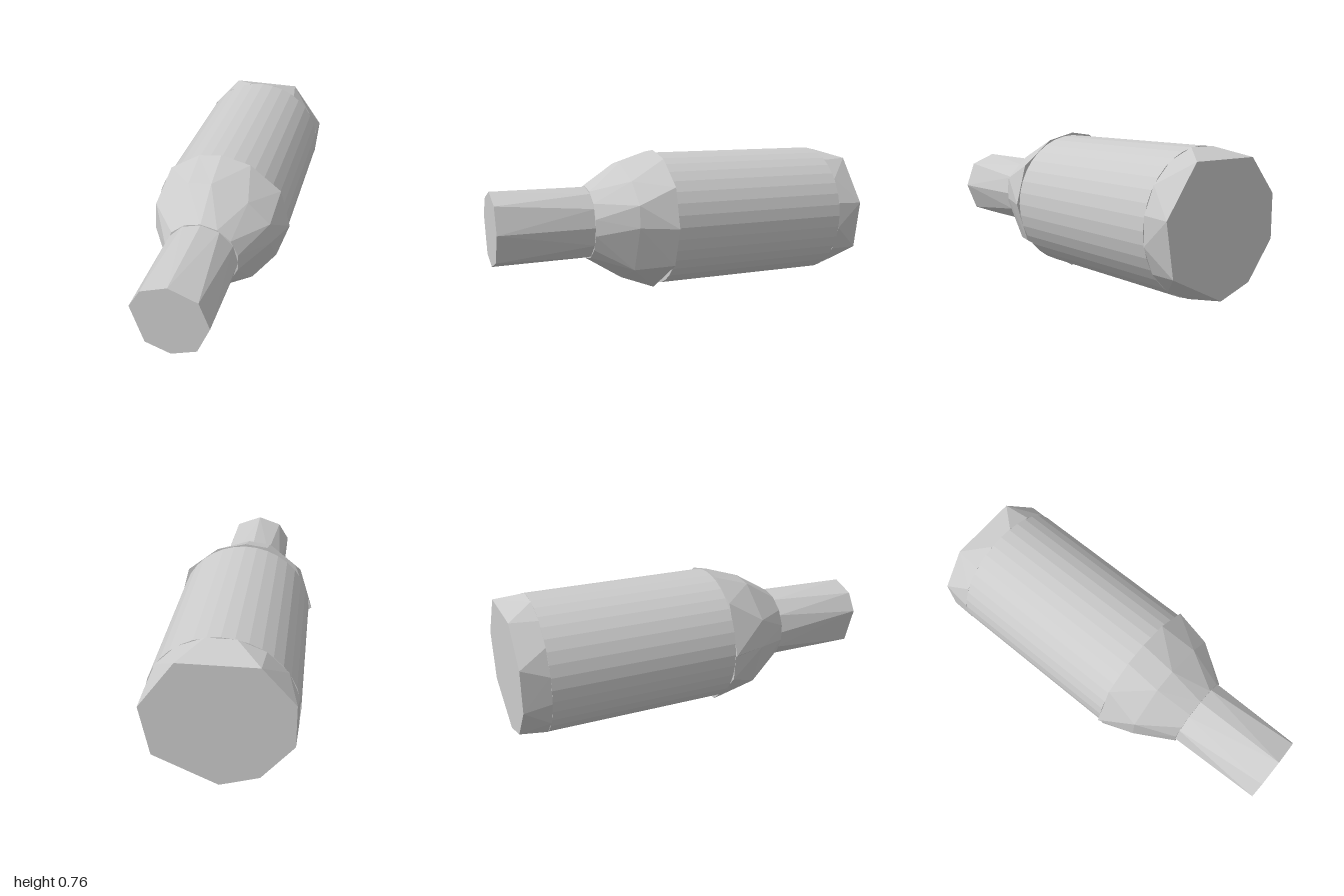
import * as THREE from 'three';

const AXIS_Y = 0.395;
const material = new THREE.MeshStandardMaterial({ color: 0xcccccc, flatShading: true });

const angleOf = (p) => Math.atan2(p[1] - AXIS_Y, p[0]);

// Cross-section from corner points, sorted round the long axis
function section(z, points) {
  return { z, points: [...points].sort((a, b) => angleOf(a) - angleOf(b)) };
}

// Regular cross-section
function ring(z, radius, sides, turn = 0) {
  const points = [];
  for (let i = 0; i < sides; i++) {
    const a = turn + (i / sides) * Math.PI * 2;
    points.push([radius * Math.cos(a), AXIS_Y + radius * Math.sin(a)]);
  }
  return section(z, points);
}

// Faceted skin through sections listed from back to front, closed at both ends
function loft(name, sections) {
  const pos = [];
  const corner = (s, i) => {
    const p = s.points[i % s.points.length];
    return [p[0], p[1], s.z];
  };
  const angle = (s, i) => angleOf(s.points[i % s.points.length]) + (i >= s.points.length ? Math.PI * 2 : 0);

  // Stitch neighbouring sections, which may have different corner counts
  for (let k = 0; k < sections.length - 1; k++) {
    const a = sections[k], b = sections[k + 1];
    const na = a.points.length, nb = b.points.length;
    let i = 0, j = 0;
    while (i < na || j < nb) {
      const midA = angle(a, i) + angle(a, Math.min(i + 1, na));
      const midB = angle(b, j) + angle(b, Math.min(j + 1, nb));
      if (j >= nb || (i < na && midA <= midB)) {
        pos.push(...corner(a, i), ...corner(a, i + 1), ...corner(b, j));
        i++;
      } else {
        pos.push(...corner(a, i), ...corner(b, j + 1), ...corner(b, j));
        j++;
      }
    }
  }

  // End faces
  const back = sections[0], front = sections[sections.length - 1];
  for (let i = 0; i < back.points.length; i++) pos.push(0, AXIS_Y, back.z, ...corner(back, i + 1), ...corner(back, i));
  for (let i = 0; i < front.points.length; i++) pos.push(0, AXIS_Y, front.z, ...corner(front, i), ...corner(front, i + 1));

  const geometry = new THREE.BufferGeometry();
  geometry.setAttribute('position', new THREE.Float32BufferAttribute(pos, 3));
  geometry.computeVertexNormals();
  const mesh = new THREE.Mesh(geometry, material);
  mesh.name = name;
  return mesh;
}

export function createModel() {
  const model = new THREE.Group();
  model.name = 'taperedCylinder';

  // Long round body
  model.add(loft('body', [ring(-0.86, 0.358, 36), ring(0.12, 0.358, 36)]));

  // Irregular chamfered end cap
  model.add(loft('endCap', [
    section(-1, [
      [0.355, 0.46], [0.18, 0.7], [-0.19, 0.7], [-0.345, 0.52],
      [-0.345, 0.3], [-0.19, 0.11], [0, 0.05], [0.31, 0.2],
    ]),
    ring(-0.86, 0.36, 16, 0.2),
  ]));

  // Faceted shoulder narrowing to the neck
  model.add(loft('shoulder', [
    section(0.12, [
      [0.375, 0.393], [0.32, 0.6], [0.155, 0.73], [0, 0.767], [-0.12, 0.75],
      [-0.275, 0.655], [-0.375, 0.397], [-0.36, 0.385], [-0.345, 0.25],
      [-0.22, 0.12], [-0.125, 0.036], [-0.004, 0.022], [0.004, 0.003], [0.31, 0.19],
    ]),
    section(0.31, [
      [0.31, 0.4], [0.305, 0.515], [0.19, 0.625], [0, 0.705], [-0.12, 0.69], [-0.3, 0.54],
      [-0.31, 0.39], [-0.22, 0.15], [0, 0.077], [0.22, 0.165],
    ]),
    ring(0.505, 0.194, 14, Math.PI / 2),
  ]));

  // Narrow tip with an eight-cornered end face
  model.add(loft('tip', [
    ring(0.5, 0.19, 12, Math.PI / 2),
    section(1, [
      [0.19, 0.393], [0.14, 0.53], [0, 0.585], [-0.13, 0.54],
      [-0.188, 0.445], [-0.125, 0.245], [0, 0.2], [0.127, 0.245],
    ]),
  ]));

  return model;
}
